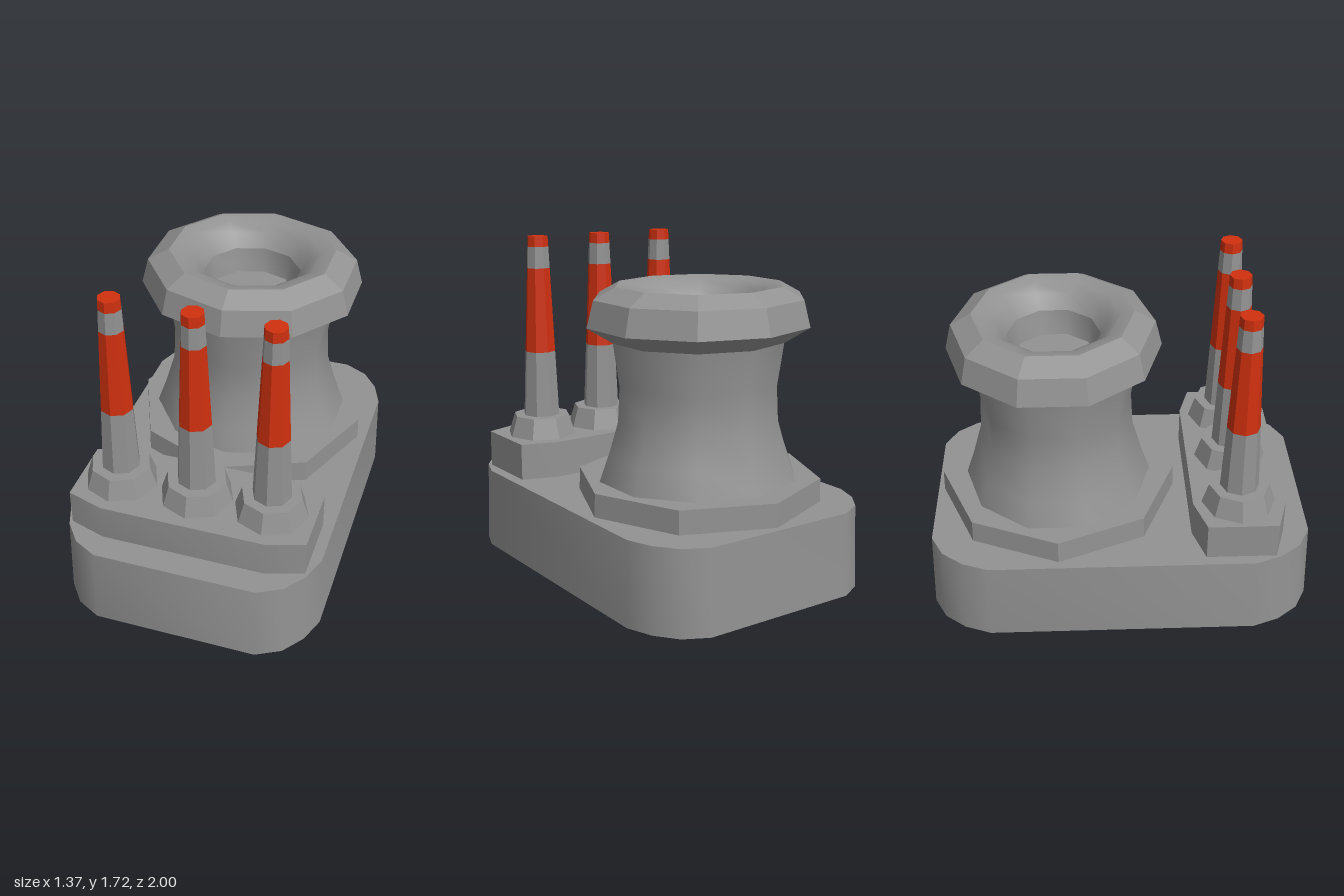
import * as THREE from 'three';
import { toCreasedNormals } from 'three/addons/utils/BufferGeometryUtils.js';

const grey = new THREE.MeshStandardMaterial({ color: 0x929292 });
grey.name = 'concrete grey';
const red = new THREE.MeshStandardMaterial({ color: 0xd0300f });
red.name = 'warning red';

function addMesh(parent, name, geometry, material) {
  const mesh = new THREE.Mesh(geometry, material);
  mesh.name = name;
  parent.add(mesh);
  return mesh;
}

// Upright block from one quarter of its outline, mirrored, with a tapered top
function block(quarter, height, taper) {
  const back = [...quarter].reverse();
  const outline = [
    ...quarter,
    ...back.map(([x, z]) => [-x, z]),
    ...quarter.map(([x, z]) => [-x, -z]),
    ...back.map(([x, z]) => [x, -z]),
  ].map(([x, z]) => new THREE.Vector2(x, z));
  const geometry = new THREE.ExtrudeGeometry(new THREE.Shape(outline), { depth: height, bevelEnabled: false });
  geometry.rotateX(-Math.PI / 2);
  const p = geometry.attributes.position;
  for (let i = 0; i < p.count; i++) {
    if (p.getY(i) > height / 2) p.setXYZ(i, p.getX(i) * taper, p.getY(i), p.getZ(i) * taper);
  }
  return toCreasedNormals(geometry, 0.62);
}

// Ten-sided turned part, slightly wider than deep
function turned(profile, crease) {
  const geometry = new THREE.LatheGeometry(profile.map(([r, y]) => new THREE.Vector2(r, y)), 10);
  geometry.scale(1.065, 1, 1);
  return toCreasedNormals(geometry, crease);
}

// Eight-sided frustum between two heights
function frustum(rTop, rBottom, y0, y1) {
  const geometry = new THREE.CylinderGeometry(rTop, rBottom, y1 - y0, 8);
  geometry.translate(0, (y0 + y1) / 2, 0);
  return toCreasedNormals(geometry, 0.3);
}

export function createModel() {
  const model = new THREE.Group();
  model.name = 'powerPlant';

  // Ground slab with rounded corners
  addMesh(model, 'base', block([[0.685, 0.69], [0.635, 0.825], [0.55, 0.935], [0.425, 1]], 0.43, 0.985), grey);

  // Cooling tower on an octagonal plinth
  const tower = new THREE.Group();
  tower.name = 'coolingTower';
  tower.position.z = -0.325;
  model.add(tower);
  addMesh(tower, 'towerPlinth', frustum(0.625, 0.628, 0.43, 0.55), grey);
  addMesh(tower, 'towerNeck', turned(
    [[0.495, 0.55], [0.45, 0.68], [0.402, 0.85], [0.393, 1.03], [0.425, 1.26]], 0.75), grey);
  addMesh(tower, 'towerRim', turned(
    [[0.36, 1.25], [0.425, 1.25], [0.548, 1.33], [0.515, 1.465], [0.41, 1.525]], 0.3), grey);
  addMesh(tower, 'towerMouth', turned(
    [[0.41, 1.525], [0.345, 1.51], [0.285, 1.47], [0.24, 1.4]], 0.85), grey);
  addMesh(tower, 'towerShaft', turned(
    [[0.24, 1.4], [0.215, 1.27], [0, 1.27]], 0.7), grey);

  // Platform under the chimneys
  const platform = addMesh(model, 'chimneyPlatform',
    block([[0.617, 0.18], [0.425, 0.24]], 0.195, 1), grey);
  platform.position.set(0, 0.43, 0.61);

  // Three striped chimneys with flared feet
  const bands = [[0.735, 1.09, grey], [1.09, 1.545, red], [1.545, 1.66, grey], [1.66, 1.715, red]];
  const radiusAt = (y) => 0.1 - 0.044 * (y - 0.735) / 0.98;
  for (const x of [-0.405, 0, 0.39]) {
    const chimney = new THREE.Group();
    chimney.name = 'chimney';
    chimney.position.set(x, 0, 0.605);
    model.add(chimney);
    addMesh(chimney, 'chimneyFoot', frustum(0.155, 0.19, 0.625, 0.735), grey);
    for (const [y0, y1, material] of bands) {
      addMesh(chimney, material === red ? 'redBand' : 'greyBand',
        frustum(radiusAt(y1), radiusAt(y0), y0, y1), material);
    }
  }
  return model;
}
